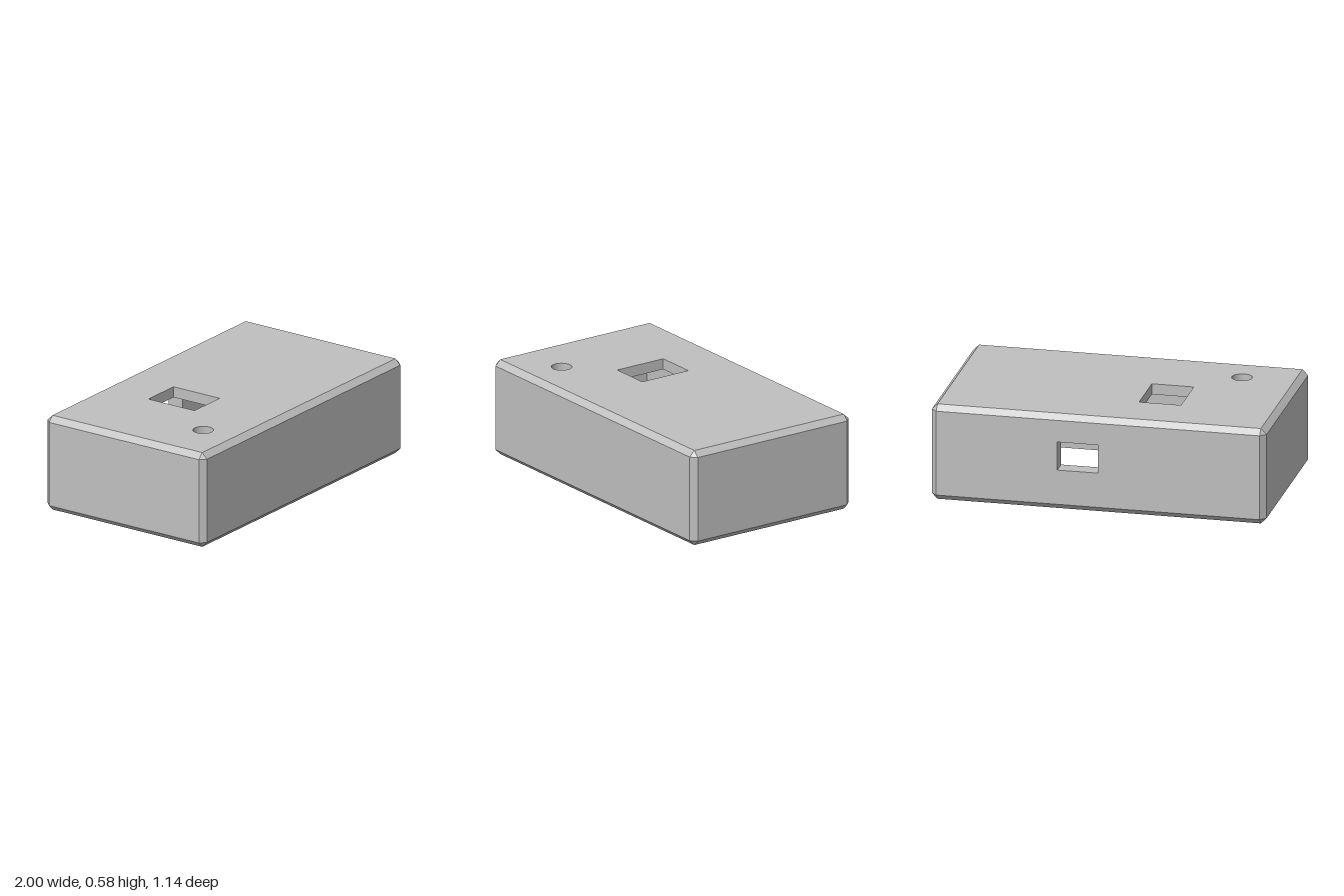
import * as THREE from 'three';

// Overall half sizes, chamfer and inner steps
const W = 1, D = 0.57, H = 0.585, C = 0.034;
const REC = [0.937, 0.507], LEDGE = 0.17;   // lid recess at the open bottom
const CAV = [0.9, 0.47], CEIL = 0.52;       // main cavity

// Eight-point loop at height y, counter-clockwise from above, corners cut by k
const ring = (y, w, d, k = 0) => [
  [w, d - k], [w, k - d], [w - k, -d], [k - w, -d],
  [-w, k - d], [-w, d - k], [k - w, d], [w - k, d],
].map(([x, z]) => new THREE.Vector3(x, y, z));

// Flat-faced skin through a series of loops; skip(section, side) leaves a gap
function loft(loops, skip = () => false) {
  const pos = [], t = new THREE.Triangle();
  const add = (a, b, c) => {
    if (t.set(a, b, c).getArea() > 1e-7) pos.push(...a, ...b, ...c);
  };
  for (let i = 0; i < loops.length - 1; i++) {
    const A = loops[i], B = loops[i + 1], n = A.length;
    for (let j = 0; j < n; j++) {
      if (skip(i, j)) continue;
      const m = (j + 1) % n;
      add(A[j], B[j], B[m]);
      add(A[j], B[m], A[m]);
    }
  }
  const g = new THREE.BufferGeometry();
  g.setAttribute('position', new THREE.Float32BufferAttribute(pos, 3));
  g.computeVertexNormals();
  return g;
}

const rect = (x0, x1, y0, y1) => [[x0, y0], [x1, y0], [x1, y1], [x0, y1]];

// Flat panel with holes; sx and sy mirror the outline into the panel's own plane
function panel(outline, holes, sx, sy) {
  const pts = (list) => list.map(([a, b]) => new THREE.Vector2(a * sx, b * sy));
  const shape = new THREE.Shape(pts(outline));
  holes.forEach((h) => shape.holes.push(new THREE.Path(pts(h))));
  return new THREE.ShapeGeometry(shape);
}

export function createModel() {
  const group = new THREE.Group();
  const grey = new THREE.MeshStandardMaterial({ color: 0xbfbfbf });
  grey.name = 'grey plastic';
  const add = (name, geometry) => {
    const mesh = new THREE.Mesh(geometry, grey);
    mesh.name = name;
    group.add(mesh);
  };

  // Chamfered outside, bottom rim, lid recess, ledge and cavity walls
  add('shell', loft([
    ring(H, W - C, D - C), ring(H - C, W, D, C), ring(C, W, D, C), ring(0, W - C, D - C),
    ring(0, ...REC), ring(LEDGE, ...REC), ring(LEDGE, ...CAV), ring(CEIL, ...CAV),
  ], (i, j) => j === 2 && (i === 1 || i === 6)));

  // Roof openings as x, z outlines, counter-clockwise from above
  const window = rect(-0.42, -0.17, -0.24, 0.09).reverse();
  const button = Array.from({ length: 48 }, (_, i) => {
    const a = (i / 48) * Math.PI * 2;
    return [-0.655 + 0.06 * Math.cos(a), 0.32 - 0.06 * Math.sin(a)];
  });
  const roofHoles = [window, button];
  add('roof', panel(rect(C - W, W - C, C - D, D - C), roofHoles, 1, -1)
    .rotateX(-Math.PI / 2).translate(0, H, 0));
  add('ceiling', panel(rect(-CAV[0], CAV[0], -CAV[1], CAV[1]), roofHoles, 1, 1)
    .rotateX(Math.PI / 2).translate(0, CEIL, 0));
  roofHoles.forEach((hole, i) => add(['windowEdge', 'buttonHoleEdge'][i], loft(
    [CEIL, H].map((y) => hole.map(([x, z]) => new THREE.Vector3(x, y, z))))));

  // Back wall with the cable port, as an x, y outline
  const port = rect(0, 0.243, 0.245, 0.418).reverse();
  add('backOutside', panel(rect(C - W, W - C, C, H - C), [port], -1, 1)
    .rotateY(Math.PI).translate(0, 0, -D));
  add('backInside', panel(rect(-CAV[0], CAV[0], LEDGE, CEIL), [port], 1, 1)
    .translate(0, 0, -CAV[1]));
  add('portEdge', loft(
    [-CAV[1], -D].map((z) => port.map(([x, y]) => new THREE.Vector3(x, y, z)))));

  return group;
}
